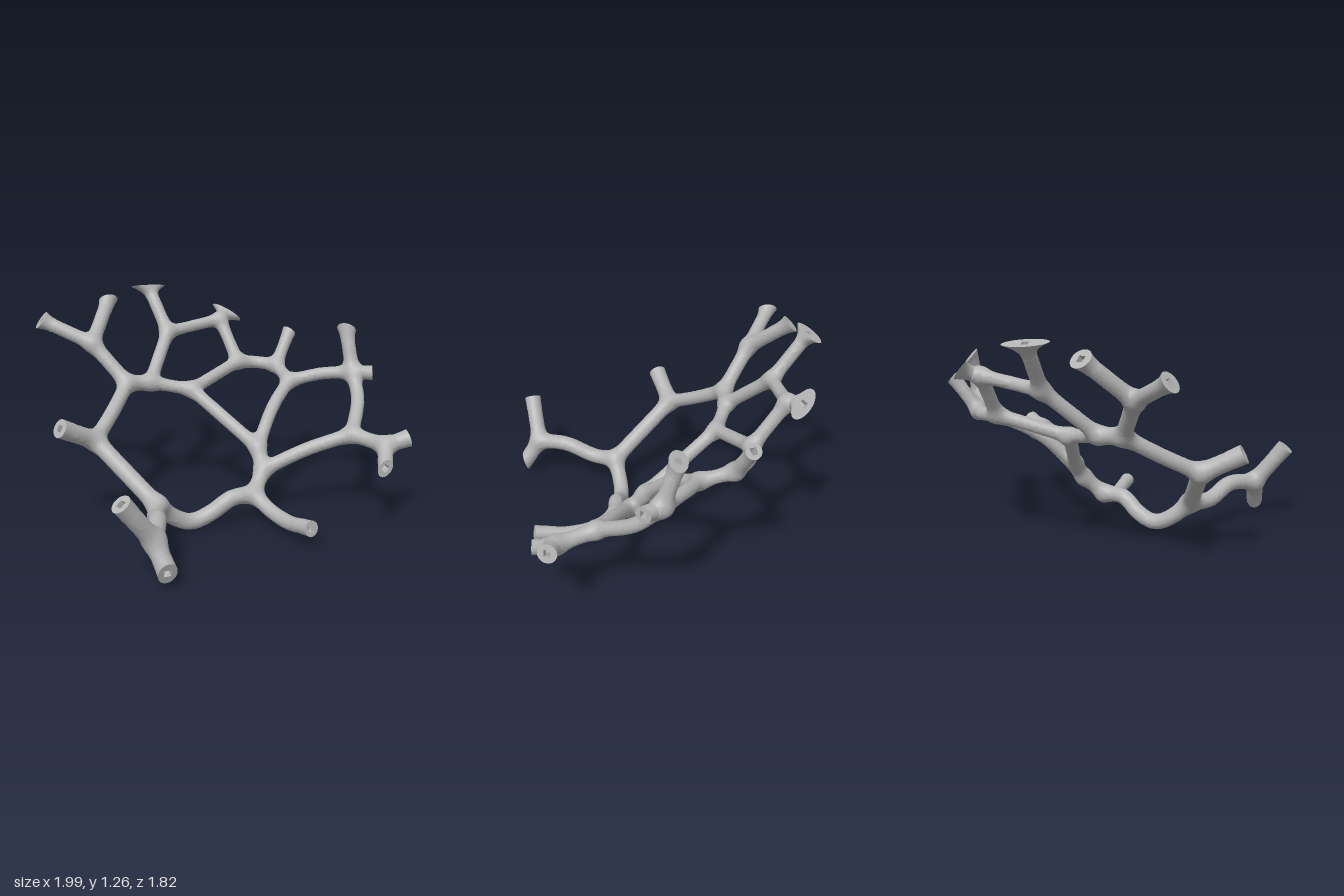
import * as THREE from 'three';

const V = (a) => new THREE.Vector3(...a);

// Junctions of the branching frame
const N = {
  farLeft: [-0.59, 0.96, -0.59], hubA: [-0.43, 0.73, -0.42], hubB: [-0.28, 0.72, -0.42],
  top: [-0.07, 0.98, -0.65], topR: [0.31, 1.03, -0.67], upper: [0.35, 0.78, -0.48],
  mid: [-0.04, 0.67, -0.33], core: [0.2, 0.39, 0.11], coreB: [0.19, 0.28, 0.2],
  bottom: [0.09, 0.17, 0.28], side: [0.56, 0.70, -0.17], sideUp: [0.57, 0.76, -0.36],
  edge: [0.89, 0.77, 0.05], low: [0.68, 0.49, 0.39], fork: [0.77, 0.47, 0.6],
  west: [-0.74, 0.5, -0.1], southWest: [-0.51, 0.2, 0.28], foot: [-0.72, 0.24, 0.79],
};

// Branches between junctions: start, end, radius, points in between
const links = [
  ['farLeft', 'hubA', 0.044], ['hubA', 'hubB', 0.045], ['hubB', 'top', 0.04],
  ['top', 'topR', 0.037], ['topR', 'upper', 0.039], ['hubB', 'mid', 0.039],
  ['mid', 'upper', 0.039], ['mid', 'core', 0.04], ['core', 'coreB', 0.042],
  ['coreB', 'bottom', 0.043], ['upper', 'sideUp', 0.04, [[0.47, 0.77, -0.45]]],
  ['sideUp', 'side', 0.038], ['side', 'core', 0.039, [[0.37, 0.58, -0.03]]],
  ['side', 'edge', 0.039, [[0.74, 0.75, -0.07]]],
  ['edge', 'low', 0.041, [[0.85, 0.64, 0.18]]], ['low', 'coreB', 0.041, [[0.43, 0.4, 0.29]]],
  ['low', 'fork', 0.043], ['west', 'hubA', 0.043, [[-0.58, 0.61, -0.26]]],
  ['west', 'southWest', 0.049],
  ['bottom', 'southWest', 0.048, [[-0.05, 0.17, 0.28], [-0.17, 0.09, 0.255], [-0.29, 0.052, 0.245], [-0.4, 0.1, 0.25]]],
  ['southWest', 'foot', 0.048, [[-0.575, 0.195, 0.42], [-0.63, 0.26, 0.6]]],
];

// Free ends: junction, end centre, radius, options (n = face normal, major axis, end radii)
const ends = [
  ['farLeft', [-0.86, 1.1, -0.75], 0.042, { n: [-0.78, 0.6, -0.1], rx: 0.06, ry: 0.06 }],
  ['farLeft', [-0.41, 1.185, -0.81], 0.044, { n: [0.1, 0.7, -0.7], rx: 0.06, ry: 0.06 }],
  ['top', [-0.12, 1.25, -0.86], 0.04, { n: [0, 0.95, -0.3], major: [1, 0.1, -0.3], rx: 0.13, ry: 0.05 }],
  ['topR', [0.39, 1.06, -0.74], 0.039, { n: [0.7, 0.65, -0.3], major: [0.14, -0.09, 0.13], rx: 0.108, ry: 0.05 }],
  ['sideUp', [0.7, 0.96, -0.43], 0.039, { n: [0.7, 0.6, -0.25], rx: 0.048, ry: 0.045 }],
  ['edge', [0.885, 1.03, -0.03], 0.043, { n: [0.55, 0.65, -0.5], rx: 0.06, ry: 0.058 }],
  ['edge', [0.97, 0.78, 0.15], 0.042, { n: [0.8, 0.05, 0.6], rx: 0.048, ry: 0.045 }],
  ['fork', [0.9, 0.51, 0.64], 0.046, { rx: 0.055, ry: 0.052 }],
  ['fork', [0.68, 0.39, 0.74], 0.042, { n: [0, 0.05, 1], major: [-0.09, -0.08, 0], rx: 0.055, ry: 0.043 }],
  ['bottom', [0.19, 0.13, 0.775], 0.042, { via: [[0.13, 0.11, 0.42], [0.16, 0.095, 0.58]] }],
  ['west', [-0.96, 0.62, -0.03], 0.052, {}],
  ['foot', [-0.9, 0.48, 0.83], 0.05, {}],
  ['foot', [-0.69, 0.1, 0.89], 0.05, { n: [0, -0.3, 0.95], major: [0, -1, 0], rx: 0.062, ry: 0.052 }],
];

// Smooth skin that blends all branches into one body (surface nets over a distance field)
function blendedSkin(branches) {
  const h = 0.016, K = 68, lo = [-1.12, -0.08, -1.08], dim = [141, 92, 136];
  const step = [1, dim[0], dim[0] * dim[1]], total = dim[0] * dim[1] * dim[2];
  const sum = new Float32Array(total);
  const p = new THREE.Vector3(), ab = new THREE.Vector3(), ap = new THREE.Vector3();
  for (const { pts, r } of branches) {
    const box = new THREE.Box3().setFromPoints(pts).expandByScalar(0.2);
    const a = box.min.toArray().map((v, i) => Math.max(0, Math.floor((v - lo[i]) / h)));
    const b = box.max.toArray().map((v, i) => Math.min(dim[i] - 1, Math.ceil((v - lo[i]) / h)));
    for (let z = a[2]; z <= b[2]; z++) for (let y = a[1]; y <= b[1]; y++) for (let x = a[0]; x <= b[0]; x++) {
      p.set(lo[0] + x * h, lo[1] + y * h, lo[2] + z * h);
      let best = 9;
      for (let i = 0; i + 1 < pts.length; i++) {
        ab.subVectors(pts[i + 1], pts[i]);
        ap.subVectors(p, pts[i]);
        const t = THREE.MathUtils.clamp(ap.dot(ab) / ab.lengthSq(), 0, 1);
        best = Math.min(best, ap.addScaledVector(ab, -t).length());
      }
      sum[x + y * step[1] + z * step[2]] += Math.exp(-K * (best - r));
    }
  }
  const f = sum.map((s) => -Math.log(Math.max(s, 1e-9)) / K);
  const cell = new Int32Array(total).fill(-1), pos = [], idx = [];
  const corner = [...Array(8).keys()].map((c) => [c & 1, (c >> 1) & 1, c >> 2]);
  const offset = corner.map((c) => c[0] * step[0] + c[1] * step[1] + c[2] * step[2]);
  const each = (from, fn) => {
    for (let z = from; z < dim[2] - 1; z++) for (let y = from; y < dim[1] - 1; y++)
      for (let x = from; x < dim[0] - 1; x++) fn(x, y, z, x + y * step[1] + z * step[2]);
  };
  // One vertex per cell crossed by the surface
  each(0, (x, y, z, i) => {
    let n = 0;
    const m = [0, 0, 0];
    for (let c = 0; c < 8; c++) for (let bit = 1; bit < 8; bit <<= 1) {
      if (c & bit) continue;
      const d = c | bit, fa = f[i + offset[c]], fb = f[i + offset[d]];
      if ((fa < 0) === (fb < 0)) continue;
      const t = fa / (fa - fb);
      for (let k = 0; k < 3; k++) m[k] += corner[c][k] + t * (corner[d][k] - corner[c][k]);
      n++;
    }
    if (!n) return;
    cell[i] = pos.length / 3;
    pos.push(lo[0] + h * (x + m[0] / n), lo[1] + h * (y + m[1] / n), lo[2] + h * (z + m[2] / n));
  });
  // One quad per crossed grid edge
  each(1, (x, y, z, i) => {
    for (let a = 0; a < 3; a++) {
      const inside = f[i] < 0;
      if (inside === (f[i + step[a]] < 0)) continue;
      const u = step[(a + 1) % 3], v = step[(a + 2) % 3];
      const q = [cell[i - u - v], cell[i - v], cell[i], cell[i - u]];
      if (!inside) q.reverse();
      idx.push(q[0], q[1], q[2], q[0], q[2], q[3]);
    }
  });
  const g = new THREE.BufferGeometry();
  g.setAttribute('position', new THREE.Float32BufferAttribute(pos, 3));
  g.setIndex(idx);
  g.computeVertexNormals();
  return g;
}

// Sleeve lofted from a round branch to its cut end
function sleeve(start, dir, r, centre, u, v, rx, ry) {
  const S = 24, R = 8, pos = [], idx = [];
  const su = u.clone().addScaledVector(dir, -u.dot(dir)).normalize();
  const sv = new THREE.Vector3().crossVectors(dir, su);
  for (let j = 0; j <= R; j++) for (let i = 0; i < S; i++) {
    const t = j / R, c = Math.cos(i / S * Math.PI * 2), s = Math.sin(i / S * Math.PI * 2);
    const a = start.clone().addScaledVector(su, c * r).addScaledVector(sv, s * r);
    const b = centre.clone().addScaledVector(u, c * rx).addScaledVector(v, s * ry);
    const reach = b.clone().sub(a).dot(dir);
    const flare = b.sub(a).addScaledVector(dir, -reach);
    pos.push(...a.addScaledVector(dir, reach * t).addScaledVector(flare, t * t).toArray());
    if (j < R) {
      const k = j * S + i, l = j * S + (i + 1) % S;
      idx.push(k, l, l + S, k, l + S, k + S);
    }
  }
  const g = new THREE.BufferGeometry();
  g.setAttribute('position', new THREE.Float32BufferAttribute(pos, 3));
  g.setIndex(idx);
  g.computeVertexNormals();
  return g;
}

export function createModel() {
  const group = new THREE.Group();
  const grey = new THREE.MeshStandardMaterial({ color: 0xb4b4b4, side: THREE.DoubleSide });
  grey.name = 'grey';
  const add = (name, geo) => {
    const m = new THREE.Mesh(geo, grey);
    m.name = name;
    group.add(m);
    return m;
  };
  const path = (pts) => (pts.length > 2 ? new THREE.CatmullRomCurve3(pts).getPoints(14) : pts);

  const branches = links.map(([a, b, r, via = []]) => ({ r, pts: path([N[a], ...via, N[b]].map(V)) }));

  for (const [from, tip, r, { n, major, rx = r + 0.003, ry = r + 0.003, via = [] }] of ends) {
    const centre = V(tip), prev = V(via.length ? via[via.length - 1] : N[from]);
    const dir = centre.clone().sub(prev).normalize();
    const start = centre.clone().addScaledVector(dir, -0.08);
    branches.push({ r, pts: path([V(N[from]), ...via.map(V), start]) });

    // Frame of the cut face
    const normal = n ? V(n).normalize() : dir;
    const u = major ? V(major) : new THREE.Vector3(0, 1, 0).cross(normal);
    u.addScaledVector(normal, -u.dot(normal)).normalize();
    const v = new THREE.Vector3().crossVectors(normal, u);
    add('branchEnd', sleeve(start, dir, r + 0.001, centre, u, v, rx, ry));

    // Flat face with a square socket
    const face = new THREE.Shape().absellipse(0, 0, rx, ry, 0, Math.PI * 2);
    const q = 0.019;
    face.holes.push(new THREE.Path([[-q, -q], [-q, q], [q, q], [q, -q]].map((c) => new THREE.Vector2(...c))));
    const cap = add('endFace', new THREE.ShapeGeometry(face, 12));
    const walls = add('socket', new THREE.CylinderGeometry(q * 1.414, q * 1.414, 0.03, 4, 1, true)
      .rotateY(Math.PI / 4).rotateX(Math.PI / 2).translate(0, 0, -0.015).toNonIndexed());
    walls.geometry.computeVertexNormals();
    for (const m of [cap, walls]) {
      m.quaternion.setFromRotationMatrix(new THREE.Matrix4().makeBasis(u, v, normal));
      m.position.copy(centre);
    }
  }
  add('branchFrame', blendedSkin(branches));
  return group;
}
